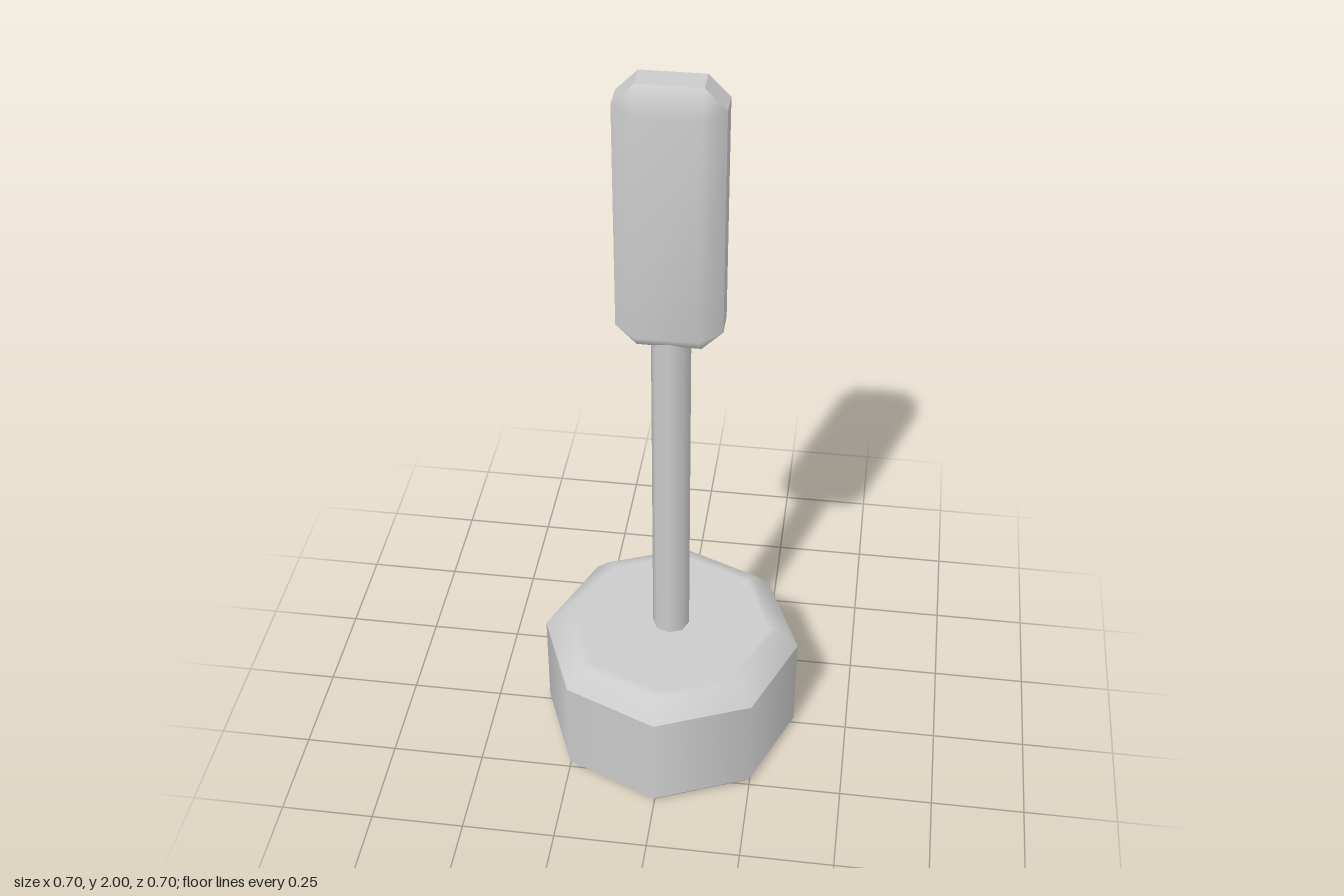
import * as THREE from 'three';

const material = new THREE.MeshStandardMaterial({ color: 0xcccccc });

function addMesh(parent, geometry, name) {
  const mesh = new THREE.Mesh(geometry, material);
  mesh.name = name;
  parent.add(mesh);
  return mesh;
}

// Eight-sided smooth band turned from a profile, listed bottom to top
function turned(profile) {
  return new THREE.LatheGeometry(profile.map(([r, y]) => new THREE.Vector2(r, y)), 8);
}

function facesFrom(points, indices) {
  const geometry = new THREE.BufferGeometry();
  geometry.setAttribute('position', new THREE.Float32BufferAttribute(points.flat(), 3));
  geometry.setIndex(indices);
  geometry.computeVertexNormals();
  return geometry;
}

// Head: a box with one-segment bevels, in half sizes
const W = 0.132, H = 0.35, D = 0.0875, BEVEL = 0.0525;
const signs = [[1, 1], [-1, 1], [-1, -1], [1, -1]]; // anticlockwise seen from +z

// Two outline points for each corner, anticlockwise
function outline(z) {
  return signs.flatMap(([sx, sy]) => {
    const side = [sx * W, sy * (H - BEVEL), z];
    const end = [sx * (W - BEVEL), sy * H, z];
    return sx * sy > 0 ? [side, end] : [end, side];
  });
}

// Smooth face with its sloping bevels
function headFace() {
  const rim = outline(D - BEVEL);
  const face = signs.map(([sx, sy]) => [sx * (W - BEVEL), sy * (H - BEVEL), D]);
  const indices = [8, 9, 10, 8, 10, 11];
  for (let i = 0; i < 4; i++) {
    const a = 2 * i, b = a + 1, c = (a + 2) % 8;
    const f = 8 + i, g = 8 + (i + 1) % 4;
    indices.push(f, a, b, f, b, c, f, c, g);
  }
  return facesFrom([...rim, ...face], indices);
}

// Flat-sided band around the edge
function headRim() {
  const front = outline(D - BEVEL), back = outline(BEVEL - D);
  const indices = [];
  for (let i = 0; i < 8; i++) {
    const j = (i + 1) % 8;
    indices.push(i, 8 + i, 8 + j, i, 8 + j, j);
  }
  const geometry = facesFrom([...front, ...back], indices).toNonIndexed();
  geometry.computeVertexNormals();
  return geometry;
}

export function createModel() {
  const model = new THREE.Group();
  model.name = 'padOnStand';

  // Octagonal base with a wide top bevel and a narrow bottom one
  const base = new THREE.Group();
  base.name = 'base';
  addMesh(base, turned([[0.352, 0.3], [0.3, 0.355], [0.27, 0.355], [0, 0.355]]), 'baseTop');
  addMesh(base, turned([[0.352, 0.02], [0.352, 0.3]]), 'baseSide');
  addMesh(base, turned([[0.335, 0], [0.352, 0.02]]), 'baseBottomBevel');
  addMesh(base, turned([[0, 0], [0.335, 0]]), 'baseBottom');
  model.add(base);

  // Pole, running slightly into the base and the head
  const pole = addMesh(model, new THREE.CylinderGeometry(0.05, 0.05, 1.02, 8), 'pole');
  pole.position.y = 0.84;

  // Upright bevelled head
  const head = new THREE.Group();
  head.name = 'head';
  head.position.y = 1.65;
  addMesh(head, headFace(), 'headFront');
  addMesh(head, headFace(), 'headBack').rotation.y = Math.PI;
  addMesh(head, headRim(), 'headRim');
  model.add(head);

  return model;
}
